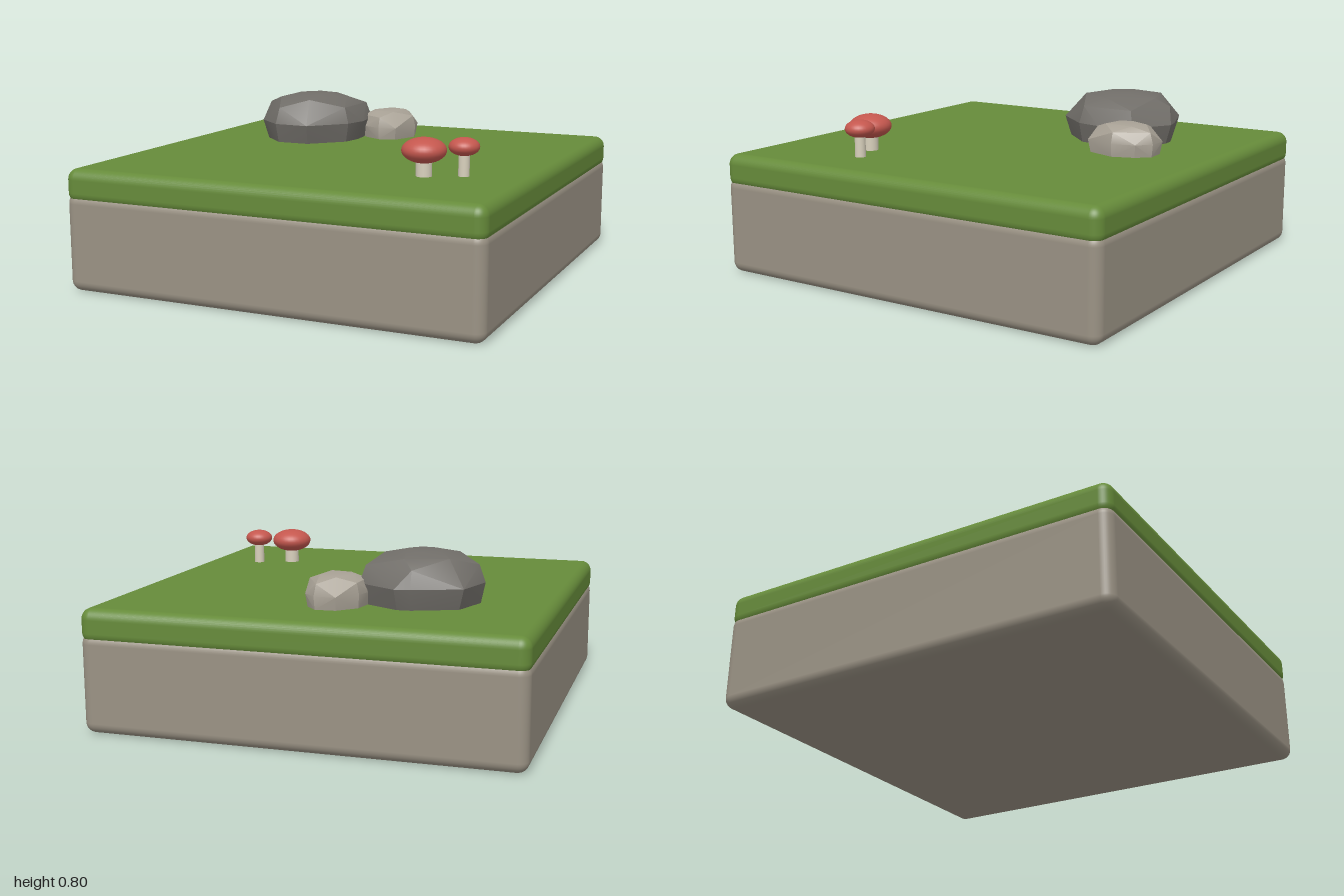
import * as THREE from 'three';
import { RoundedBoxGeometry } from 'three/addons/geometries/RoundedBoxGeometry.js';
import { ConvexGeometry } from 'three/addons/geometries/ConvexGeometry.js';
import { toCreasedNormals } from 'three/addons/utils/BufferGeometryUtils.js';

const GROUND = 0.57;

function addMesh(parent, name, geometry, color, x = 0, y = 0, z = 0) {
  const mesh = new THREE.Mesh(geometry, new THREE.MeshStandardMaterial({ color }));
  mesh.name = name;
  mesh.position.set(x, y, z);
  parent.add(mesh);
  return mesh;
}

// Convex boulder: a plan outline [x, z] repeated at several [height, scale] levels
function rockGeometry(outline, [cx, cz], levels) {
  const points = [];
  levels.forEach(([y, scale], level) => {
    outline.forEach(([x, z], i) => {
      // sparser, alternating corners away from the widest level give broad facets
      if (scale < 1 && (i + level) % 2) return;
      points.push(new THREE.Vector3(cx + (x - cx) * scale, y, cz + (z - cz) * scale));
    });
  });
  return toCreasedNormals(new ConvexGeometry(points), 0.45);
}

// Mushroom: round stem under a flattened cap
function mushroom(name, x, z, capY, capRadius, capHeight, stemRadius) {
  const group = new THREE.Group();
  group.name = name;
  group.position.set(x, 0, z);
  const bottom = GROUND - 0.02;
  const stem = new THREE.CylinderGeometry(stemRadius, stemRadius, capY - bottom, 20);
  addMesh(group, 'stem', stem, 0xd8d0bc, 0, (capY + bottom) / 2, 0);
  const cap = new THREE.SphereGeometry(capRadius, 32, 20);
  cap.scale(1, capHeight / capRadius, 1);
  addMesh(group, 'cap', cap, 0xc4574e, 0, capY, 0);
  return group;
}

export function createModel() {
  const model = new THREE.Group();
  model.name = 'grassTile';

  // Ground block with a turf layer
  addMesh(model, 'stoneBase', new RoundedBoxGeometry(2, 0.46, 2, 5, 0.05), 0x9a9284, 0, 0.23, 0);
  addMesh(model, 'grassLayer', new RoundedBoxGeometry(2, 0.16, 2, 5, 0.05), 0x668b3a, 0, 0.49, 0);

  // Boulders
  const largeOutline = [
    [-0.63, -0.55], [-0.41, -0.63], [-0.34, -0.645], [-0.15, -0.53], [-0.125, -0.36],
    [-0.155, -0.24], [-0.31, -0.07], [-0.49, -0.08], [-0.625, -0.2], [-0.685, -0.35],
  ];
  addMesh(model, 'largeRock', rockGeometry(largeOutline, [-0.4, -0.36], [
    [0.5, 0.82], [0.57, 0.93], [0.665, 1], [0.745, 0.9], [0.785, 0.65], [0.803, 0.28],
  ]), 0x716e69);

  const smallOutline = [
    [-0.2, -0.53], [-0.18, -0.63], [-0.1, -0.72], [0, -0.72], [0.06, -0.66],
    [0.09, -0.55], [0.04, -0.4], [-0.05, -0.385], [-0.14, -0.43], [-0.19, -0.48],
  ];
  addMesh(model, 'smallRock', rockGeometry(smallOutline, [-0.055, -0.555], [
    [0.53, 0.88], [0.57, 0.96], [0.63, 1], [0.682, 0.9], [0.706, 0.55],
  ]), 0xa9a296);

  // Mushrooms
  model.add(mushroom('largeMushroom', 0.546, 0.495, 0.685, 0.1, 0.057, 0.036));
  model.add(mushroom('smallMushroom', 0.706, 0.425, 0.701, 0.069, 0.041, 0.025));

  return model;
}
